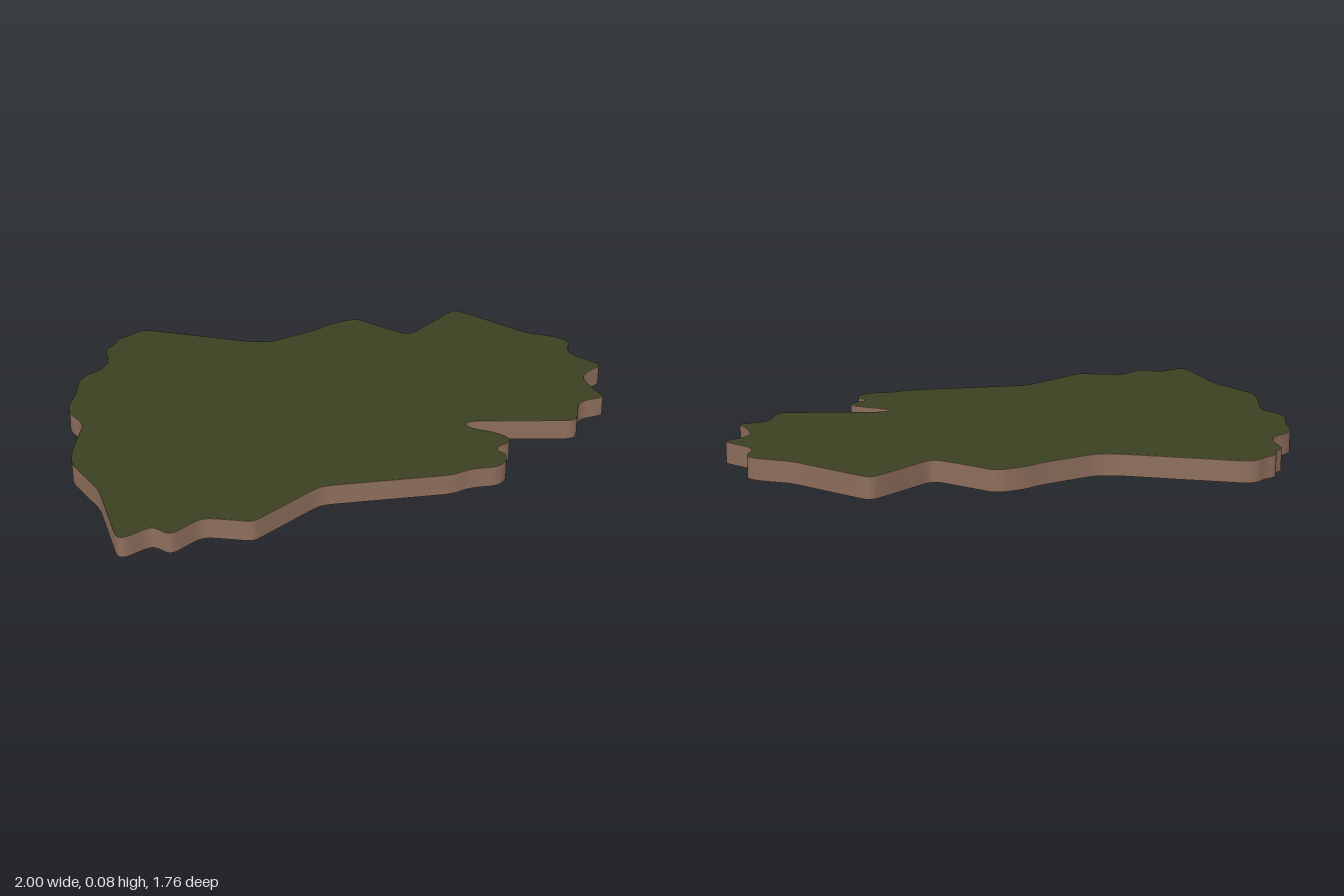
import * as THREE from 'three';
import { toCreasedNormals } from 'three/addons/utils/BufferGeometryUtils.js';

const HEIGHT = 0.077;
const SKIN = 0.001;

// Coastline corners as x, z pairs: back and left-hand side first, then front and the other side
const backAndLeft = [
  -0.78, -0.685, -0.355, -0.585, -0.28, -0.585, -0.1, -0.7, -0.04, -0.757, 0.03, -0.795,
  0.067, -0.797, 0.094, -0.777, 0.243, -0.671, 0.28, -0.671, 0.436, -0.87, 0.462, -0.89,
  0.49, -0.875, 0.74, -0.682, 0.82, -0.66, 0.88, -0.634, 0.902, -0.596, 0.885, -0.532,
  0.9, -0.49, 0.98, -0.425, 1.005, -0.4, 0.95, -0.35, 0.926, -0.313, 0.928, -0.27,
  0.955, -0.195, 0.99, -0.145, 0.97, -0.13, 0.9, -0.104, 0.88, -0.06, 0.874, 0.02,
  0.853, 0.05, 0.48, 0.06, 0.455, 0.083, 0.473, 0.11, 0.57, 0.147, 0.616, 0.185,
  0.607, 0.222, 0.562, 0.25, 0.564, 0.28, 0.593, 0.297, 0.594, 0.35, 0.56, 0.393,
];
const frontAndRight = [
  0.463, 0.41, 0.4, 0.452, -0.035, 0.532, -0.067, 0.548, -0.26, 0.757, -0.28, 0.769,
  -0.425, 0.751, -0.457, 0.762, -0.541, 0.858, -0.59, 0.815, -0.618, 0.815, -0.687, 0.877,
  -0.716, 0.873, -0.81, 0.575, -0.896, 0.447, -0.933, 0.388, -0.94, 0.297, -0.928, 0.1,
  -0.987, 0.03, -1.002, -0.035, -0.987, -0.13, -0.992, -0.238, -0.965, -0.29, -0.917, -0.334,
  -0.898, -0.4, -0.925, -0.51, -0.892, -0.548, -0.89, -0.6, -0.848, -0.628, -0.82, -0.67,
];

// Joins the corners with straight shores and rounds every corner
function roundedOutline(coords, radius) {
  const pts = [];
  for (let i = 0; i < coords.length; i += 2) pts.push(new THREE.Vector2(coords[i], -coords[i + 1]));
  const shape = new THREE.Shape();
  const toward = (p, q) => p.clone().lerp(q, Math.min(0.48, radius / p.distanceTo(q)));
  pts.forEach((p, i) => {
    const a = toward(p, pts[(i + pts.length - 1) % pts.length]);
    const b = toward(p, pts[(i + 1) % pts.length]);
    if (i === 0) shape.moveTo(a.x, a.y);
    else shape.lineTo(a.x, a.y);
    shape.quadraticCurveTo(p.x, p.y, b.x, b.y);
  });
  shape.closePath();
  return shape;
}

export function createModel() {
  const earth = new THREE.MeshStandardMaterial({ color: 0x8d6e5c });
  earth.name = 'earthBrown';
  const grass = new THREE.MeshStandardMaterial({ color: 0x3c4122 });
  grass.name = 'grassGreen';

  const outline = roundedOutline([...backAndLeft, ...frontAndRight], 0.035);
  const model = new THREE.Group();
  model.name = 'island';

  // Earth slab with smooth shores and sharp rims
  const slab = new THREE.ExtrudeGeometry(outline, { depth: HEIGHT - SKIN, bevelEnabled: false, curveSegments: 5 });
  slab.rotateX(-Math.PI / 2);
  const base = new THREE.Mesh(toCreasedNormals(slab, 0.7), earth);
  base.name = 'earthSlab';

  // Grass face on top
  const cover = new THREE.ShapeGeometry(outline, 5);
  cover.rotateX(-Math.PI / 2);
  const top = new THREE.Mesh(cover, grass);
  top.name = 'grassTop';
  top.position.y = HEIGHT;

  model.add(base, top);
  return model;
}
